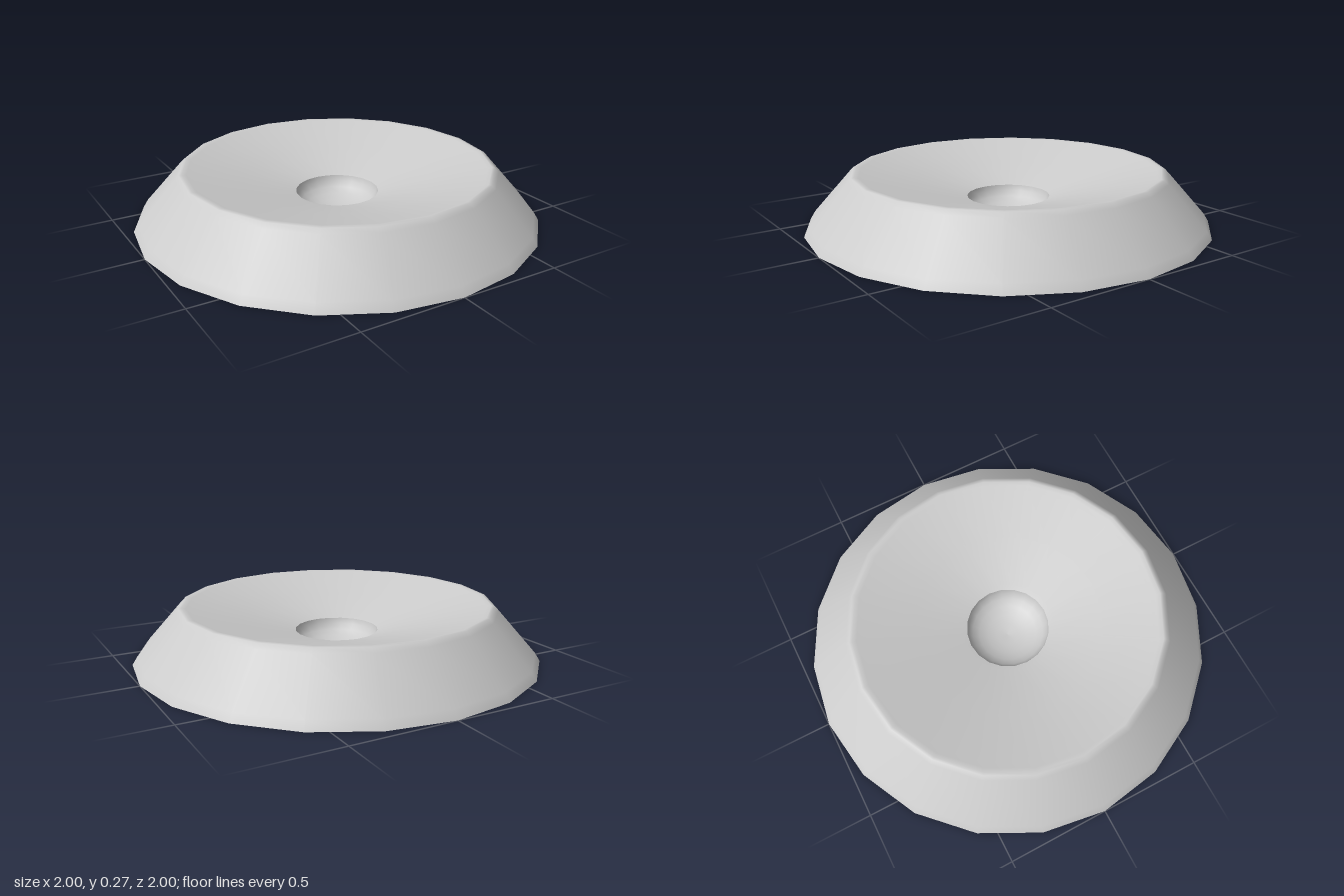
import * as THREE from 'three';

const SIDES = 20;

export function createModel() {
  const group = new THREE.Group();
  group.name = 'dish';
  const material = new THREE.MeshStandardMaterial({ color: 0xcccccc, side: THREE.DoubleSide });

  // Turns a profile of [radius, height] pairs into an open shell
  const addShell = (name, profile) => {
    const points = profile.map(([r, y]) => new THREE.Vector2(r, y));
    const mesh = new THREE.Mesh(new THREE.LatheGeometry(points, SIDES), material);
    mesh.name = name;
    group.add(mesh);
  };

  // Sloping outer skirt, rounded rim and shallow conical bowl
  addShell('skirtAndBowl', [
    [1, 0], [0.975, 0.04], [0.79, 0.248], [0.77, 0.268], [0.755, 0.27],
    [0.735, 0.265], [0.71, 0.258], [0.47, 0.196], [0.23, 0.135], [0.205, 0.128],
  ]);

  // Round hollow sunk into the middle of the bowl
  const hollow = [];
  const steps = 6;
  for (let i = 0; i <= steps; i++) {
    const a = (i / steps) * Math.PI / 2;
    hollow.push([0.205 * Math.cos(a), 0.128 - 0.108 * Math.sin(a)]);
  }
  hollow[steps][0] = 0;
  addShell('centreHollow', hollow);

  return group;
}
